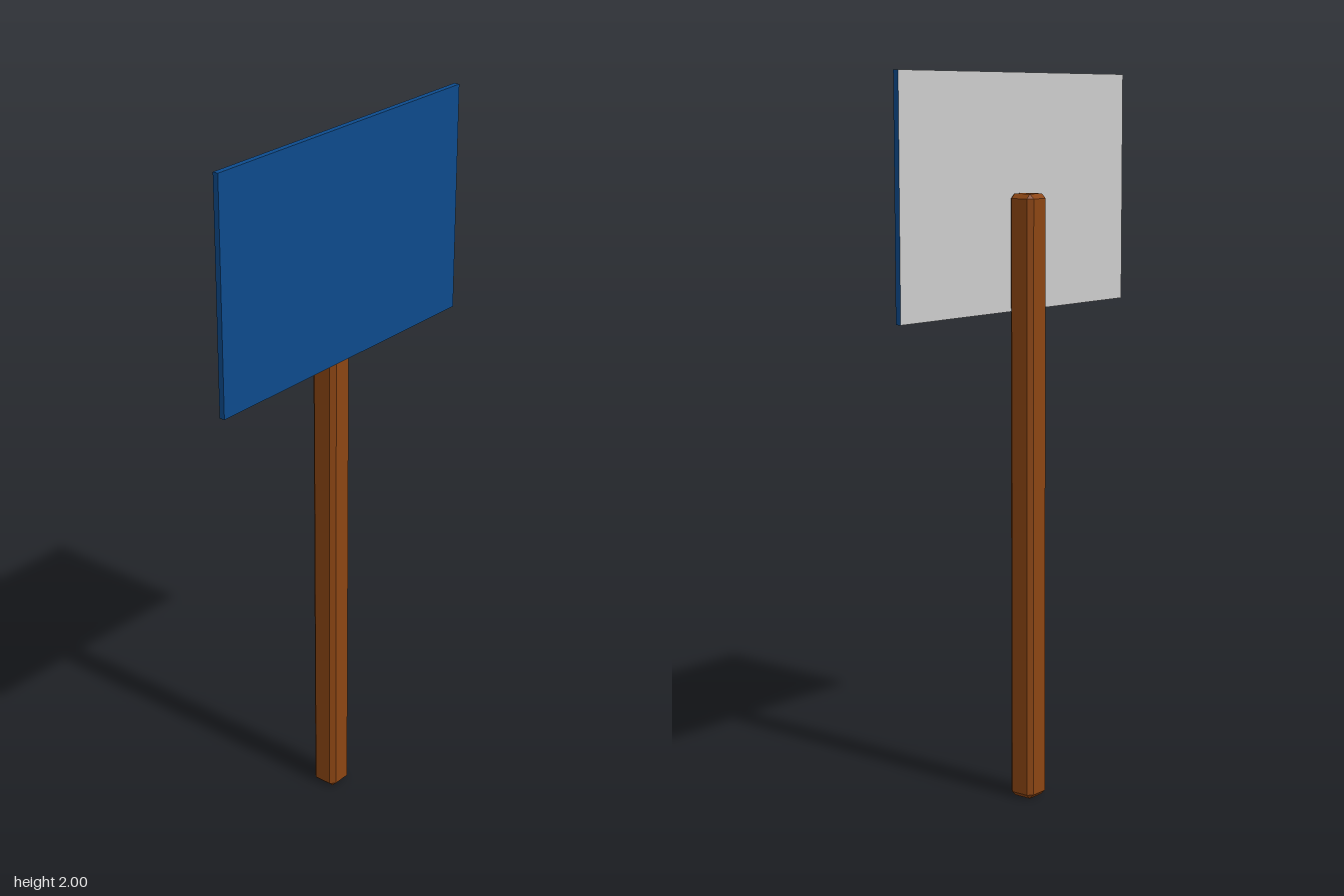
import * as THREE from 'three';
import { ConvexGeometry } from 'three/addons/geometries/ConvexGeometry.js';

// Box whose twelve edges are all cut by the same flat chamfer c
function chamferedBox(w, h, d, c) {
  const half = [w / 2, h / 2, d / 2];
  const points = [];
  for (const sx of [-1, 1]) for (const sy of [-1, 1]) for (const sz of [-1, 1]) {
    for (let axis = 0; axis < 3; axis++) {
      const p = half.map((v, i) => (i === axis ? v : v - c));
      points.push(new THREE.Vector3(sx * p[0], sy * p[1], sz * p[2]));
    }
  }
  return new ConvexGeometry(points);
}

export function createModel() {
  const model = new THREE.Group();
  model.name = 'signpost';

  const wood = new THREE.MeshStandardMaterial({ color: 0x8b4513, flatShading: true });
  const blue = new THREE.MeshStandardMaterial({ color: 0x0d4a8b });
  const grey = new THREE.MeshStandardMaterial({ color: 0xcccccc });

  // Square wooden post with chamfered edges
  const post = new THREE.Mesh(chamferedBox(0.078, 1.68, 0.078, 0.013), wood);
  post.name = 'post';
  post.position.set(0, 0.84, -0.006);
  model.add(post);

  // Thin board: blue front and edges, bare grey back
  const board = new THREE.Mesh(
    new THREE.BoxGeometry(0.96, 0.637, 0.016),
    [blue, blue, blue, blue, blue, grey]
  );
  board.name = 'signBoard';
  board.position.set(0, 1.6815, 0.036);
  model.add(board);

  return model;
}
